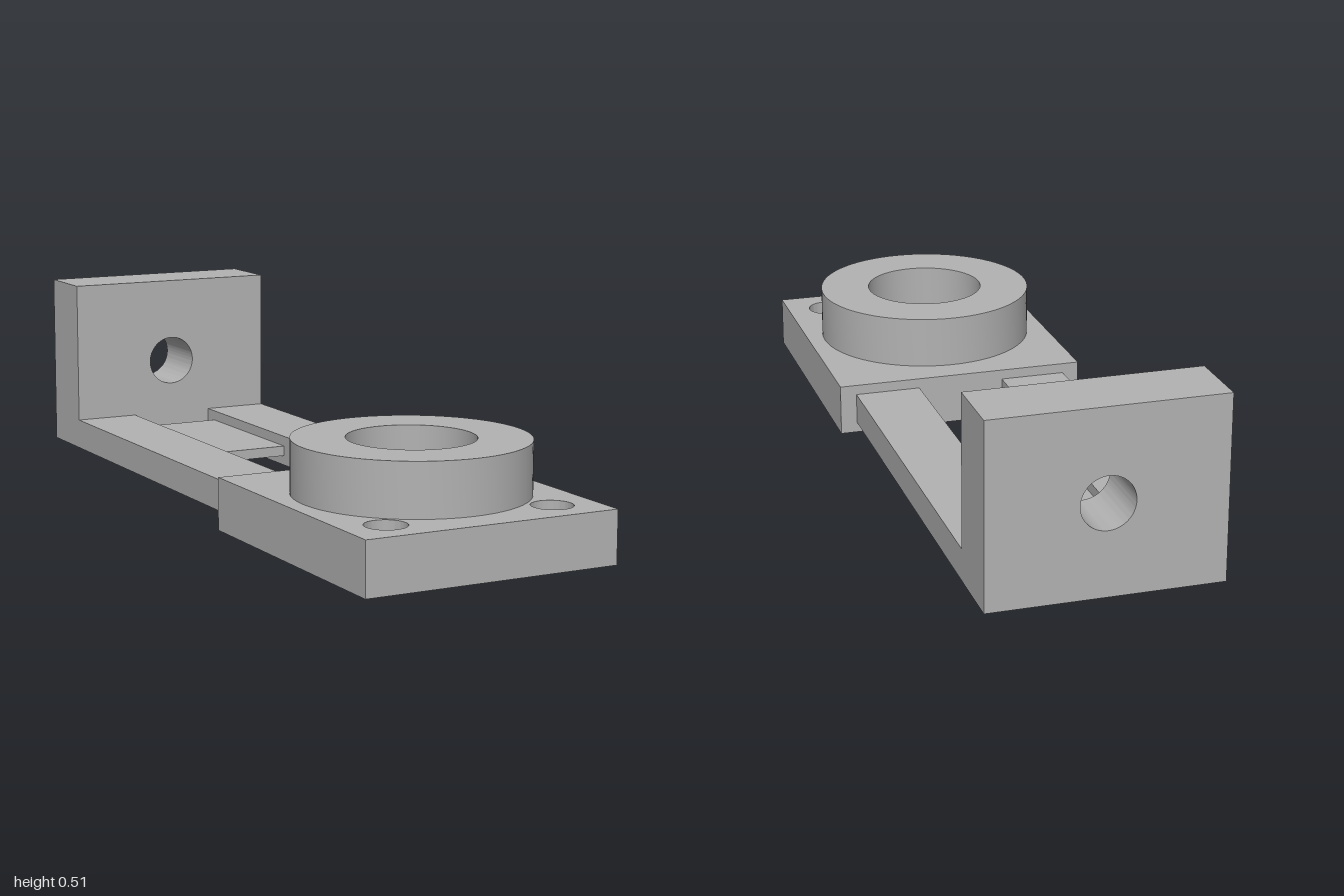
import * as THREE from 'three';
import { toCreasedNormals } from 'three/addons/utils/BufferGeometryUtils.js';

const grey = new THREE.MeshStandardMaterial({ color: 0xb2b2b2 });
grey.name = 'grey';

function part(name, geometry) {
  const mesh = new THREE.Mesh(geometry, grey);
  mesh.name = name;
  return mesh;
}

function box(name, x0, x1, y0, y1, z0, z1) {
  const geometry = new THREE.BoxGeometry(x1 - x0, y1 - y0, z1 - z0);
  geometry.translate((x0 + x1) / 2, (y0 + y1) / 2, (z0 + z1) / 2);
  return part(name, geometry);
}

function rectangle(x0, x1, y0, y1) {
  return new THREE.Shape([
    new THREE.Vector2(x0, y0), new THREE.Vector2(x1, y0),
    new THREE.Vector2(x1, y1), new THREE.Vector2(x0, y1),
  ]);
}

function circle(x, y, r) {
  return new THREE.Shape().absarc(x, y, r, 0, Math.PI * 2, false);
}

// Extrude an outline with round holes, keeping the hole walls smooth
function extrude(outline, holes, depth) {
  outline.holes.push(...holes.map(([x, y, r]) => circle(x, y, r)));
  const geometry = new THREE.ExtrudeGeometry(outline, { depth, bevelEnabled: false, curveSegments: 48 });
  return toCreasedNormals(geometry, 0.5);
}

export function createModel() {
  const model = new THREE.Group();
  model.name = 'bracket';
  const bore = [0, -0.61, 0.163];

  // Base plate with the central bore and two screw holes (outline y is -z)
  const base = extrude(rectangle(-0.345, 0.345, -1, -0.228),
    [bore, [-0.23, -0.89, 0.053], [0.23, -0.89, 0.053]], 0.138);
  model.add(part('basePlate', base.rotateX(-Math.PI / 2)));

  // Raised collar around the bore
  const collar = extrude(circle(0, -0.61, 0.3), [bore], 0.139);
  model.add(part('collar', collar.rotateX(-Math.PI / 2).translate(0, 0.138, 0)));

  // Two rails joining base and end plate
  model.add(box('leftRail', 0.12, 0.3, 0.028, 0.111, -0.817, 0.228));
  model.add(box('rightRail', -0.3, -0.12, 0.028, 0.111, -0.817, 0.228));

  // Thin web between the rails
  model.add(box('web', -0.12, 0.12, 0.055, 0.083, -0.775, -0.312));

  // Upright end plate with a through hole
  const end = extrude(rectangle(-0.3, 0.3, 0.028, 0.508), [[0, 0.268, 0.069]], 0.183);
  model.add(part('endPlate', end.translate(0, 0, -1)));

  return model;
}
